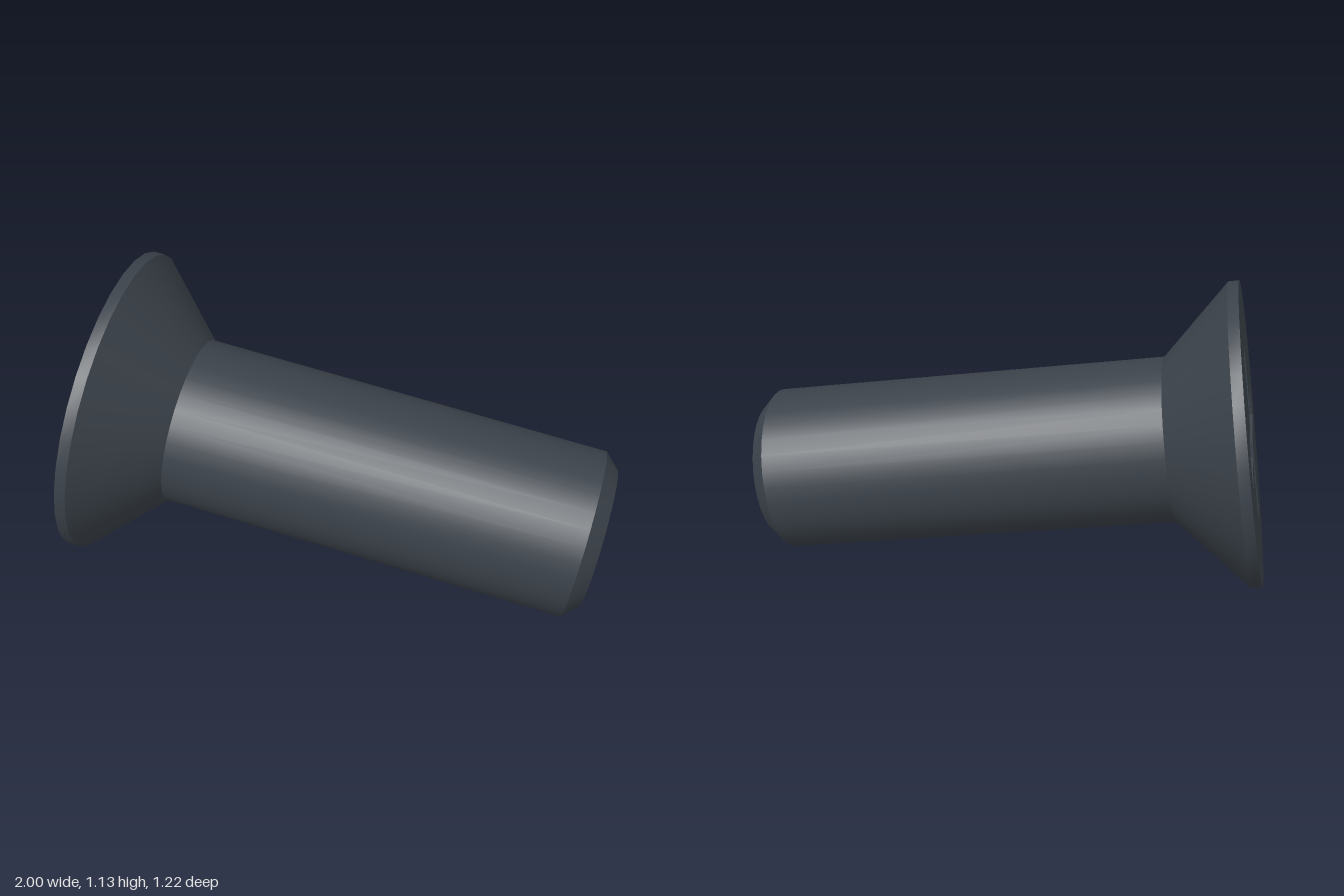
import * as THREE from 'three';
import { toCreasedNormals } from 'three/addons/utils/BufferGeometryUtils.js';

const SIDES = 32;
const HEAD_R = 0.567, SHAFT_R = 0.31, TIP_R = 0.256, LENGTH = 1.852;

// Plus-shaped outline, counter-clockwise; l = half length, w = half arm width
function crossPoints(l, w) {
  const pts = [];
  for (let i = 0; i < 4; i++) {
    const turn = i * Math.PI / 2;
    for (const [x, y] of [[l, -w], [l, w], [w, w]]) {
      pts.push(new THREE.Vector2(x, y).rotateAround(new THREE.Vector2(), turn));
    }
  }
  return pts;
}

// Surface of revolution about z, with sharp edges kept
function turned(profile) {
  const points = profile.map(([r, z]) => new THREE.Vector2(r, z));
  const geo = new THREE.LatheGeometry(points, SIDES);
  geo.rotateX(Math.PI / 2);
  return toCreasedNormals(geo, 0.5);
}

// Tapered walls of the recess, facing inwards
function recessWalls(top, bottom, depth) {
  const pos = [];
  top.forEach((a, i) => {
    const j = (i + 1) % top.length;
    const b = top[j], c = bottom[j], d = bottom[i];
    pos.push(a.x, a.y, 0, b.x, b.y, 0, c.x, c.y, -depth);
    pos.push(a.x, a.y, 0, c.x, c.y, -depth, d.x, d.y, -depth);
  });
  const geo = new THREE.BufferGeometry();
  geo.setAttribute('position', new THREE.Float32BufferAttribute(pos, 3));
  geo.computeVertexNormals();
  return geo;
}

export function createModel() {
  const steel = new THREE.MeshStandardMaterial({ color: 0x3b424a });
  steel.name = 'dark steel';
  const screw = new THREE.Group();
  screw.name = 'countersunk screw';
  const add = (name, geo) => {
    const mesh = new THREE.Mesh(geo, steel);
    mesh.name = name;
    screw.add(mesh);
    return mesh;
  };

  // Shaft with chamfered tip, and conical head with a thin rim
  add('shaft', turned([[0, -LENGTH], [TIP_R, -LENGTH], [SHAFT_R, -LENGTH + 0.056], [SHAFT_R, -0.297]]));
  add('head', turned([[SHAFT_R, -0.297], [HEAD_R, -0.04], [HEAD_R, 0]]));

  // Flat head face with a cross-shaped opening
  const rim = [];
  for (let i = 0; i < SIDES; i++) {
    const t = i / SIDES * Math.PI * 2;
    rim.push(new THREE.Vector2(Math.cos(t) * HEAD_R, Math.sin(t) * HEAD_R));
  }
  const opening = crossPoints(0.335, 0.068);
  const face = new THREE.Shape(rim);
  face.holes.push(new THREE.Path(opening));
  add('headFace', new THREE.ShapeGeometry(face));

  // Drive recess
  const depth = 0.3, floor = crossPoints(0.11, 0.055);
  add('recessWalls', recessWalls(opening, floor, depth));
  add('recessFloor', new THREE.ShapeGeometry(new THREE.Shape(floor))).position.z = -depth;

  // Lay the screw down at its resting tilt
  const zAxis = new THREE.Vector3(-0.968, 0.148, -0.203).normalize();
  const xAxis = new THREE.Vector3(0, 1, 0).cross(zAxis).normalize();
  const yAxis = zAxis.clone().cross(xAxis);
  screw.quaternion.setFromRotationMatrix(new THREE.Matrix4().makeBasis(xAxis, yAxis, zAxis));
  screw.position.set(-0.858, 0.573, -0.052);

  const model = new THREE.Group();
  model.name = 'screw model';
  model.add(screw);
  return model;
}
